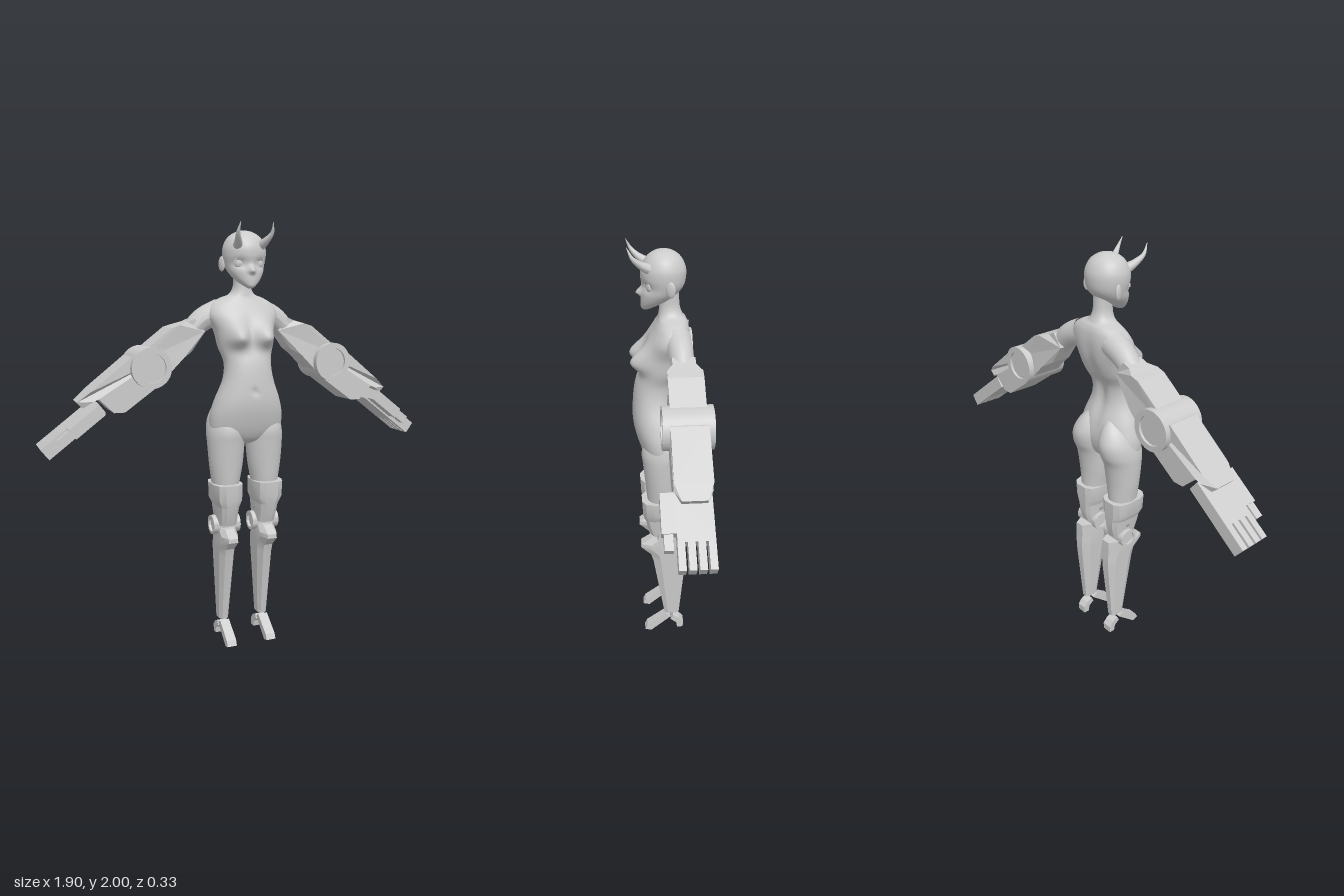
import * as THREE from 'three';
import { toCreasedNormals } from 'three/addons/utils/BufferGeometryUtils.js';

const material = new THREE.MeshStandardMaterial({ color: 0xcccccc });
const gauss = (x, s) => Math.exp(-(x * x) / (2 * s * s));
const spow = (v, p) => Math.sign(v) * Math.abs(v) ** p;
const vec = (p) => new THREE.Vector3(...p);

// Closed skin through horizontal rings, rows = [y, centreX, halfWidth, zFront, zBack] from bottom to top
function loft(rows, { seg = 40, sub = 6, pow = 1, turn = 0, bump } = {}) {
  const rings = [];
  const n = rows.length;
  for (let i = 0; i < n - 1; i++) {
    for (let s = 0; s < sub; s++) {
      const t = s / sub;
      const [a, b, c, d] = [-1, 0, 1, 2].map((k) => rows[Math.min(n - 1, Math.max(0, i + k))]);
      rings.push(b.map((v, k) => (sub === 1 ? v : 0.5 * (2 * v + (c[k] - a[k]) * t
        + (2 * a[k] - 5 * v + 4 * c[k] - d[k]) * t * t + (3 * v - a[k] - 3 * c[k] + d[k]) * t ** 3))));
    }
  }
  rings.push(rows[n - 1]);
  const pos = [], idx = [];
  rings.forEach(([y, cx, hw, zf, zb]) => {
    for (let j = 0; j < seg; j++) {
      const a = ((j + turn) / seg) * Math.PI * 2;
      const p = vec([cx + hw * spow(Math.sin(a), pow), y, (zf + zb) / 2 + ((zf - zb) / 2) * spow(Math.cos(a), pow)]);
      if (bump) bump(p, Math.cos(a));
      pos.push(p.x, p.y, p.z);
    }
  });
  const last = rings.length - 1;
  for (let i = 0; i < last; i++) {
    for (let j = 0; j < seg; j++) {
      const a = i * seg + j, b = i * seg + ((j + 1) % seg);
      idx.push(a, b, a + seg, b, b + seg, a + seg);
    }
  }
  [0, last].forEach((r) => {
    const [y, cx, , zf, zb] = rings[r];
    const centre = pos.length / 3;
    pos.push(cx, y, (zf + zb) / 2);
    for (let j = 0; j < seg; j++) {
      const a = r * seg + j, b = r * seg + ((j + 1) % seg);
      idx.push(centre, ...(r ? [a, b] : [b, a]));
    }
  });
  const g = new THREE.BufferGeometry();
  g.setAttribute('position', new THREE.Float32BufferAttribute(pos, 3));
  g.setIndex(idx);
  g.computeVertexNormals();
  return g;
}

// Tube whose radius runs from r0 to r1
function taperTube(points, r0, r1) {
  const curve = new THREE.CatmullRomCurve3(points.map(vec));
  const len = 16, rad = 16;
  const g = new THREE.TubeGeometry(curve, len, 1, rad);
  const p = g.attributes.position;
  for (let i = 0; i < p.count; i++) {
    const t = Math.floor(i / (rad + 1)) / len;
    const c = curve.getPointAt(t);
    const v = new THREE.Vector3().fromBufferAttribute(p, i).sub(c).multiplyScalar(r0 + (r1 - r0) * t).add(c);
    p.setXYZ(i, v.x, v.y, v.z);
  }
  g.computeVertexNormals();
  return g;
}

// Flat outline with thickness, centred on its depth axis
function plate(points, depth) {
  const shape = new THREE.Shape(points.map(([x, y]) => new THREE.Vector2(x, y)));
  return new THREE.ExtrudeGeometry(shape, { depth, bevelEnabled: false }).translate(0, 0, -depth / 2);
}

// Arm casing narrowed where the rule says so
function casing(points, depth, narrow) {
  const g = plate(points, depth);
  const p = g.attributes.position;
  for (let i = 0; i < p.count; i++) if (narrow(p.getX(i))) p.setZ(i, p.getZ(i) * 0.66);
  g.translate(0, 0, -0.062);
  return toCreasedNormals(g, 0.3);
}

// Round joint with a recessed disc at each end, along y
function hub(r, inner, h) {
  const half = [[0, h - 0.012], [inner, h - 0.012], [inner, h], [r, h]];
  const pts = [...half.map(([x, y]) => [x, -y]), ...half.reverse()];
  return toCreasedNormals(new THREE.LatheGeometry(pts.map(([x, y]) => new THREE.Vector2(x, y)), 40), 0.5);
}

// Box of the hand, laid along the sloping arm
function handBox(start, end, thick, z0, z1, lift = 0) {
  return new THREE.BoxGeometry(end - start, thick, z1 - z0)
    .translate((start + end) / 2, lift, (z0 + z1) / 2).rotateZ(-0.65).translate(0.678, 1.197, 0);
}

function mirrored(g) {
  const m = (g.index ? g.toNonIndexed() : g.clone()).scale(-1, 1, 1);
  for (const a of Object.values(m.attributes)) {
    for (let i = 0; i < a.count; i += 3) {
      for (let k = 0; k < a.itemSize; k++) {
        const v = a.getComponent(i + 1, k);
        a.setComponent(i + 1, k, a.getComponent(i + 2, k));
        a.setComponent(i + 2, k, v);
      }
    }
  }
  return m;
}

export function createModel() {
  const model = new THREE.Group();
  model.name = 'figure';
  const add = (name, g) => {
    const mesh = new THREE.Mesh(g, material);
    mesh.name = name;
    model.add(mesh);
  };
  const pair = (name, g) => {
    add(`${name}Left`, g);
    add(`${name}Right`, mirrored(g));
  };

  // Torso and neck
  add('torso', loft([
    [0.99, 0, 0.01, 0.03, 0.0], [1.01, 0, 0.08, 0.08, -0.03], [1.05, 0, 0.165, 0.11, -0.06],
    [1.12, 0, 0.178, 0.135, -0.075], [1.2, 0, 0.16, 0.15, -0.065], [1.3, 0, 0.122, 0.147, -0.035],
    [1.38, 0, 0.112, 0.135, -0.04], [1.45, 0, 0.13, 0.11, -0.075], [1.52, 0, 0.142, 0.095, -0.1],
    [1.59, 0, 0.17, 0.075, -0.108], [1.64, 0, 0.155, 0.05, -0.105], [1.67, 0, 0.11, 0.035, -0.095],
    [1.69, 0, 0.06, 0.03, -0.08], [1.73, 0, 0.04, 0.025, -0.065], [1.8, 0, 0.04, 0.025, -0.06],
  ], {
    seg: 72, sub: 8, pow: 0.92,
    bump(p, c) {
      if (c > 0) {
        p.z += 0.068 * gauss(Math.abs(p.x) - 0.07, 0.036) * gauss(p.y - 1.495, p.y < 1.495 ? 0.032 : 0.045);
        p.z -= 0.012 * gauss(p.x, 0.008) * gauss(p.y - 1.25, 0.01);
      } else p.z += 0.016 * gauss(p.x, 0.022) * gauss(p.y - 1.38, 0.14);
    },
  }));
  pair('shoulder', taperTube([[0.1, 1.61, -0.045], [0.18, 1.575, -0.055], [0.27, 1.49, -0.06]], 0.062, 0.045));

  // Thighs
  pair('thigh', loft([
    [0.66, 0.1, 0.05, 0.07, -0.05], [0.8, 0.1, 0.065, 0.09, -0.055], [0.9, 0.098, 0.08, 0.1, -0.06],
    [1.0, 0.097, 0.088, 0.11, -0.075], [1.06, 0.096, 0.089, 0.115, -0.1], [1.12, 0.09, 0.082, 0.1, -0.108],
    [1.18, 0.08, 0.06, 0.08, -0.085], [1.23, 0.065, 0.025, 0.04, -0.045],
  ]));

  // Head with nose and eye sockets
  add('head', loft([
    [1.715, 0, 0.01, 0.094, 0.075], [1.725, 0, 0.026, 0.104, 0.05], [1.75, 0, 0.055, 0.106, 0.0],
    [1.785, 0, 0.08, 0.104, -0.05], [1.82, 0, 0.092, 0.1, -0.08], [1.86, 0, 0.1, 0.106, -0.09],
    [1.9, 0, 0.098, 0.102, -0.088], [1.94, 0, 0.078, 0.08, -0.068], [1.965, 0, 0.042, 0.047, -0.035],
    [1.974, 0, 0.004, 0.01, 0.0],
  ], {
    seg: 64, sub: 8,
    bump(p, c) {
      if (c < 0) return;
      p.z += 0.024 * gauss(p.x, 0.009) * gauss(p.y - 1.79, p.y > 1.79 ? 0.016 : 0.008);
      p.z -= 0.012 * gauss(Math.abs(p.x) - 0.05, 0.018) * gauss(p.y - 1.825, 0.015);
    },
  }));
  pair('eye', new THREE.SphereGeometry(0.022, 20, 14).scale(1, 1, 0.5).rotateY(0.4).translate(0.05, 1.825, 0.071));
  pair('eyelid', new THREE.TorusGeometry(0.024, 0.004, 8, 20, Math.PI).rotateY(0.4).translate(0.05, 1.826, 0.08));
  pair('ear', new THREE.SphereGeometry(0.03, 16, 12).scale(0.32, 1.15, 0.7).rotateY(-0.35).translate(0.099, 1.825, -0.018));
  pair('horn', taperTube([[0.052, 1.9, 0.065], [0.068, 1.925, 0.108], [0.081, 1.955, 0.14], [0.077, 2.0, 0.163]], 0.024, 0.001));

  // Mechanical arms
  pair('upperArm', casing([
    [0.185, 1.52], [0.25, 1.43], [0.3, 1.4], [0.41, 1.29], [0.49, 1.4], [0.46, 1.455],
    [0.35, 1.54], [0.31, 1.552], [0.27, 1.565], [0.233, 1.58],
  ], 0.15, (x) => x < 0.29));
  pair('elbow', hub(0.092, 0.066, 0.105).rotateX(Math.PI / 2).translate(0.455, 1.365, -0.06));
  pair('forearm', casing([
    [0.42, 1.4], [0.4, 1.295], [0.575, 1.17], [0.625, 1.17], [0.69, 1.235], [0.715, 1.225],
    [0.757, 1.195], [0.782, 1.222], [0.725, 1.268], [0.54, 1.415],
  ], 0.155, (x) => x > 0.74));

  // Hands
  pair('palm', handBox(0, 0.21, 0.06, -0.135, 0.012));
  for (let i = 0; i < 4; i++) {
    const z = -0.135 + i * 0.0395;
    pair(`finger${i + 1}`, handBox(0.2, 0.32, 0.06, z, z + 0.029));
  }
  pair('thumbBase', handBox(0.01, 0.175, 0.052, 0.012, 0.07, 0.004));
  pair('thumbTip', handBox(0.17, 0.24, 0.04, 0.026, 0.062, 0.004));

  // Knee cuffs and joints
  const panel = (rows) => toCreasedNormals(loft(rows, { seg: 12, sub: 1, pow: 0.65, turn: 0.5 }), 0.55);
  pair('kneeCuff', panel([
    [0.605, 0.098, 0.046, 0.075, -0.055], [0.66, 0.1, 0.05, 0.095, -0.07], [0.74, 0.101, 0.06, 0.112, -0.073],
  ]));
  pair('kneeCollar', panel([
    [0.7, 0.1, 0.054, 0.108, -0.072], [0.735, 0.102, 0.071, 0.116, -0.075], [0.81, 0.103, 0.073, 0.12, -0.077],
  ]));
  pair('kneeJoint', hub(0.046, 0.033, 0.068).rotateZ(Math.PI / 2).translate(0.1, 0.6, 0));

  // Shins
  pair('shin', toCreasedNormals(loft([
    [0.11, 0.103, 0.025, 0.012, -0.066], [0.45, 0.1, 0.041, 0.07, -0.1], [0.49, 0.1, 0.043, 0.082, -0.1],
    [0.535, 0.1, 0.045, 0.132, -0.1], [0.555, 0.1, 0.045, 0.13, -0.1], [0.59, 0.1, 0.043, 0.075, -0.097],
  ], { seg: 8, sub: 1, pow: 0.7, turn: 0.5 }), 0.4));

  // Split feet
  const footPart = (points) => plate(points, 0.048).rotateY(-Math.PI / 2).translate(0.103, 0, 0);
  pair('toe', footPart([[0.08, 0], [0.112, 0.008], [0.1, 0.034], [0.005, 0.104], [-0.02, 0.085]]));
  pair('heel', footPart([
    [-0.022, 0.066], [-0.05, 0.045], [-0.056, 0.014], [-0.085, 0.014], [-0.087, 0.05], [-0.065, 0.075], [-0.034, 0.09],
  ]));
  return model;
}
